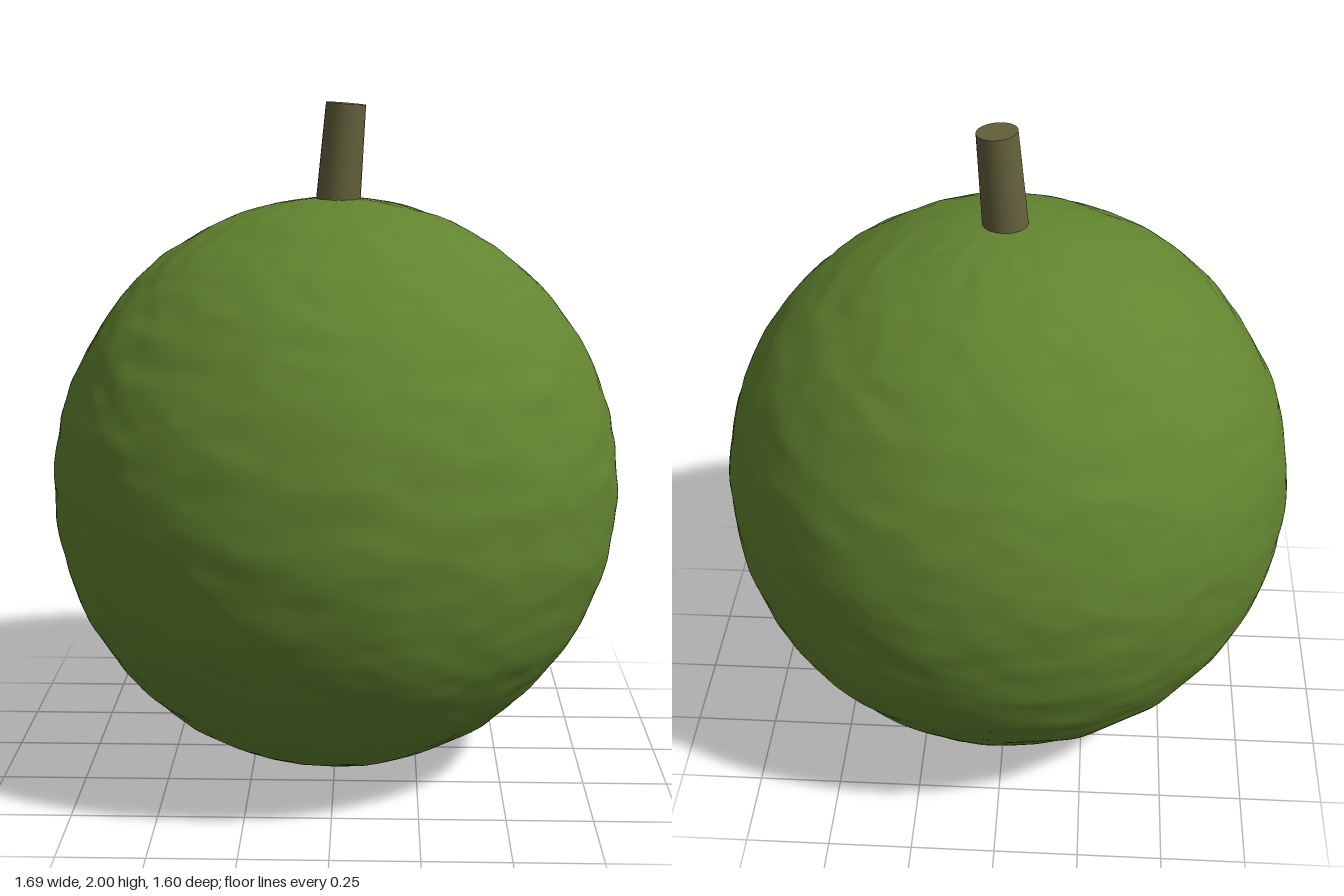
import * as THREE from 'three';
import { mergeVertices } from 'three/addons/utils/BufferGeometryUtils.js';

// Repeatable pseudo-random value for a lattice point
function hash(i, j, seed) {
  const s = Math.sin(i * 127.1 + j * 311.7 + seed * 74.7) * 43758.5453;
  return s - Math.floor(s);
}

// Smooth value noise in -1..1, wrapping around in u
function noise(u, v, nu, nv, seed) {
  const x = u * nu, y = v * nv;
  const i = Math.floor(x), j = Math.floor(y);
  const ease = t => t * t * (3 - 2 * t);
  const fx = ease(x - i), fy = ease(y - j);
  const at = (a, b) => hash(((a % nu) + nu) % nu, b, seed);
  const low = THREE.MathUtils.lerp(at(i, j), at(i + 1, j), fx);
  const high = THREE.MathUtils.lerp(at(i, j + 1), at(i + 1, j + 1), fx);
  return THREE.MathUtils.lerp(low, high, fy) * 2 - 1;
}

// Slightly oval sphere with a fine wrinkled rind
function rindGeometry() {
  const sphere = new THREE.SphereGeometry(1, 192, 144);
  sphere.deleteAttribute('uv');
  sphere.deleteAttribute('normal');
  const geo = mergeVertices(sphere, 1e-5);
  const pos = geo.attributes.position;
  const p = new THREE.Vector3();
  for (let k = 0; k < pos.count; k++) {
    p.fromBufferAttribute(pos, k);
    const v = Math.acos(THREE.MathUtils.clamp(p.y, -1, 1)) / Math.PI;
    const u = Math.atan2(p.z, p.x) / (2 * Math.PI) + 0.5;
    const fade = Math.min(1, Math.sin(v * Math.PI) * 1.6);
    const bump = 0.005 * noise(u + v * 0.15, v, 30, 34, 1) + 0.003 * noise(u - v * 0.1, v, 54, 58, 2);
    p.multiplyScalar(1 + bump * fade);
    pos.setXYZ(k, p.x * 0.845, 0.866 + p.y * 0.86, p.z * 0.797);
  }
  geo.computeVertexNormals();
  return geo;
}

export function createModel() {
  const rindGreen = new THREE.MeshStandardMaterial({ color: 0x62842f });
  const stemOlive = new THREE.MeshStandardMaterial({ color: 0x64613c });
  const scarBrown = new THREE.MeshStandardMaterial({ color: 0x4a4029 });
  rindGreen.name = 'rindGreen';
  stemOlive.name = 'stemOlive';
  scarBrown.name = 'scarBrown';

  const model = new THREE.Group();
  model.name = 'fruit';
  const add = (name, geometry, material) => {
    const mesh = new THREE.Mesh(geometry, material);
    mesh.name = name;
    model.add(mesh);
    return mesh;
  };

  add('rind', rindGeometry(), rindGreen);

  // Tapered stem leaning towards +x
  const stem = add('stem', new THREE.CylinderGeometry(0.058, 0.066, 0.32, 24), stemOlive);
  stem.position.set(0.017, 1.836, 0);
  stem.rotation.z = -0.08;

  // Small round blossom scar underneath
  const scar = add('blossomScar', new THREE.CylinderGeometry(0.085, 0.09, 0.02, 24), scarBrown);
  scar.position.y = 0.01;

  return model;
}
